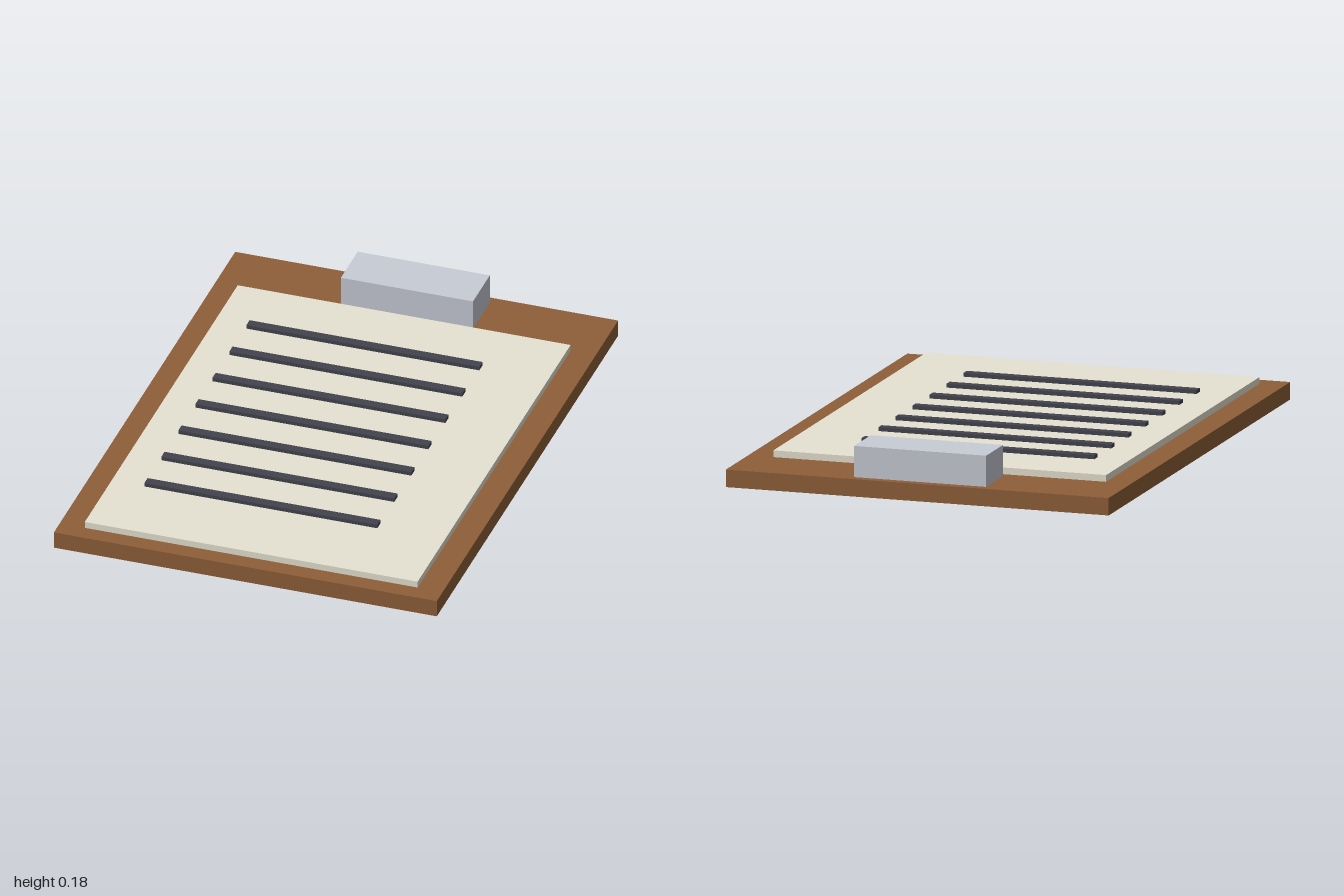
import * as THREE from 'three';

const material = (name, color) => {
  const m = new THREE.MeshStandardMaterial({ color });
  m.name = name;
  return m;
};

export function createModel() {
  const brown = material('wood brown', 0x8f5f38);
  const cream = material('paper cream', 0xe8e4d4);
  const grey = material('metal grey', 0xc8ccd6);
  const ink = material('dark ink', 0x43434e);

  const group = new THREE.Group();
  group.name = 'clipboard';

  // Box given by its [min, max] extents on each axis
  const addBox = (name, mat, [x0, x1], [y0, y1], [z0, z1]) => {
    const mesh = new THREE.Mesh(new THREE.BoxGeometry(x1 - x0, y1 - y0, z1 - z0), mat);
    mesh.position.set((x0 + x1) / 2, (y0 + y1) / 2, (z0 + z1) / 2);
    mesh.name = name;
    group.add(mesh);
  };

  addBox('board', brown, [-0.719, 0.719], [0, 0.0635], [-1, 1]);
  addBox('paper', cream, [-0.625, 0.625], [0.0635, 0.088], [-0.752, 0.935]);
  addBox('clip', grey, [-0.248, 0.248], [0.0635, 0.177], [-0.968, -0.782]);

  // Rows of writing, offset towards the left margin of the sheet
  for (let i = 0; i < 7; i++) {
    const z = -0.503 + i * 0.1875;
    addBox(`writingLine${i + 1}`, ink, [-0.502, 0.373], [0.088, 0.102], [z - 0.018, z + 0.018]);
  }
  return group;
}
